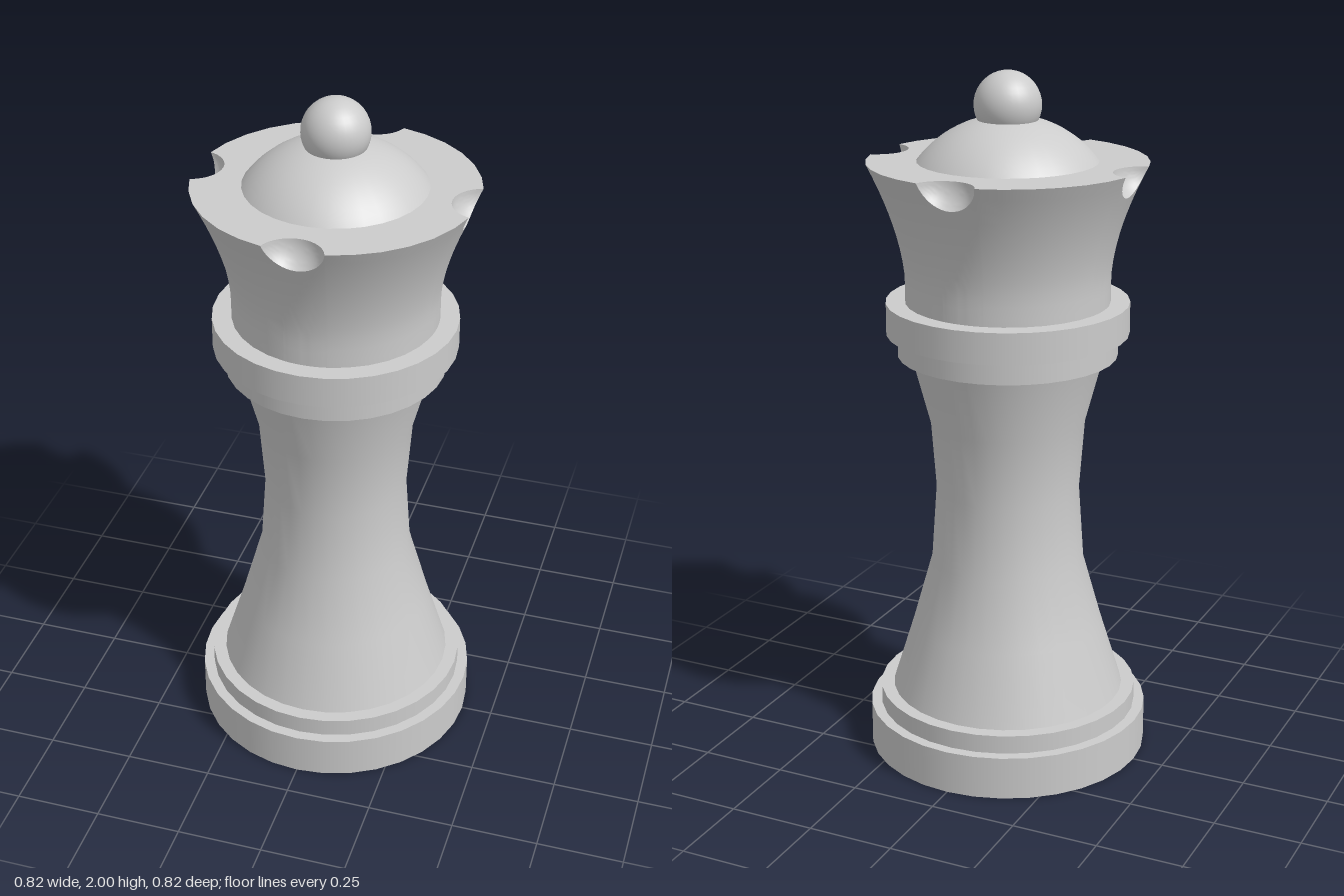
import * as THREE from 'three';
import { toCreasedNormals } from 'three/addons/utils/BufferGeometryUtils.js';

const SIDES = 32;
const RIM_Y = 1.752, RIM_R = 0.393;         // crown rim
const NOTCH_C = 0.408, NOTCH_R = 0.088;     // spherical notches centred on the rim plane
const NOTCH_EDGE = Math.acos(
  (NOTCH_C ** 2 + RIM_R ** 2 - NOTCH_R ** 2) / (2 * NOTCH_C * RIM_R));

// Radius of the flaring crown wall at a height
const crownRadius = (y) =>
  0.29 + (RIM_R - 0.29) * Math.pow(Math.max(0, (y - 1.42) / (RIM_Y - 1.42)), 1.64);

// Crown cross-section [r, y] at an angle measured from the nearest notch
function crownSection(angle) {
  const wallRows = 12, scoopRows = 10;
  let scoop = Array.from({ length: scoopRows + 1 }, () => [RIM_R, RIM_Y]);
  if (Math.abs(angle) < NOTCH_EDGE - 1e-6) {
    const c = NOTCH_C * Math.cos(angle);
    const q = Math.sqrt(Math.max(0, NOTCH_R ** 2 - (NOTCH_C * Math.sin(angle)) ** 2));
    const at = (p) => [c + q * Math.cos(p), RIM_Y + q * Math.sin(p)];
    // find where the sphere slice leaves through the wall
    let lo = Math.PI, hi = Math.PI * 1.5;
    for (let i = 0; i < 40; i++) {
      const mid = (lo + hi) / 2, [r, y] = at(mid);
      if (r < crownRadius(y)) lo = mid; else hi = mid;
    }
    scoop = scoop.map((_, i) => at(lo + (Math.PI - lo) * i / scoopRows));
  }
  const top = scoop[0][1], section = [];
  for (let i = 0; i < wallRows; i++) {
    const y = 1.34 + (top - 1.34) * i / wallRows;
    section.push([crownRadius(y), y]);
  }
  section.push(...scoop, [0.24, RIM_Y]);
  return section;
}

function crownGeometry() {
  // angles for one quarter: dense across the notch, facet corners between
  const quarter = [];
  for (let i = 0; i <= 20; i++) {
    quarter.push(-NOTCH_EDGE * Math.cos(Math.PI * i / 20));
  }
  for (let k = 2; k <= 6; k++) quarter.push(k * Math.PI * 2 / SIDES);

  const positions = [], index = [];
  const columns = quarter.length * 4;
  let rows = 0;
  for (let n = 0; n < 4; n++) {
    for (const a of quarter) {
      const section = crownSection(a), t = a + n * Math.PI / 2;
      rows = section.length;
      for (const [r, y] of section) positions.push(r * Math.sin(t), y, r * Math.cos(t));
    }
  }
  for (let i = 0; i < columns; i++) {
    for (let j = 0; j < rows - 1; j++) {
      const a = i * rows + j, b = ((i + 1) % columns) * rows + j;
      index.push(a, b, a + 1, b + 1, a + 1, b);
    }
  }
  const geometry = new THREE.BufferGeometry();
  geometry.setAttribute('position', new THREE.Float32BufferAttribute(positions, 3));
  geometry.setIndex(index);
  return toCreasedNormals(geometry, 0.6);
}

export function createModel() {
  const group = new THREE.Group();
  const material = new THREE.MeshStandardMaterial({ color: 0xcccccc });
  const add = (name, geometry, y = 0) => {
    const mesh = new THREE.Mesh(geometry, material);
    mesh.name = name;
    mesh.position.y = y;
    group.add(mesh);
  };
  const disc = (name, radius, y0, y1) =>
    add(name, new THREE.CylinderGeometry(radius, radius, y1 - y0, SIDES), (y0 + y1) / 2);

  // Stepped base
  disc('base', 0.409, 0, 0.126);
  disc('baseStep', 0.378, 0.126, 0.18);

  // Waisted column
  const column = [[0.34, 0.18], [0.278, 0.38], [0.222, 0.58],
    [0.207, 0.8], [0.222, 1.0], [0.275, 1.2]];
  add('column', new THREE.LatheGeometry(
    column.map(([r, y]) => new THREE.Vector2(r, y)), SIDES));

  // Stepped collar
  disc('lowerCollar', 0.313, 1.2, 1.265);
  disc('upperCollar', 0.345, 1.265, 1.355);

  // Flared crown with four scooped notches
  add('crown', crownGeometry());

  // Shallow dome: a cap of a larger sphere
  const domeR = 0.3185;
  add('dome', new THREE.SphereGeometry(domeR, SIDES, 12, 0, Math.PI * 2, 0, Math.asin(0.253 / domeR)),
    RIM_Y + 0.125 - domeR);

  // Ball on top
  add('finial', new THREE.SphereGeometry(0.094, SIDES, 20), 1.906);

  return group;
}
